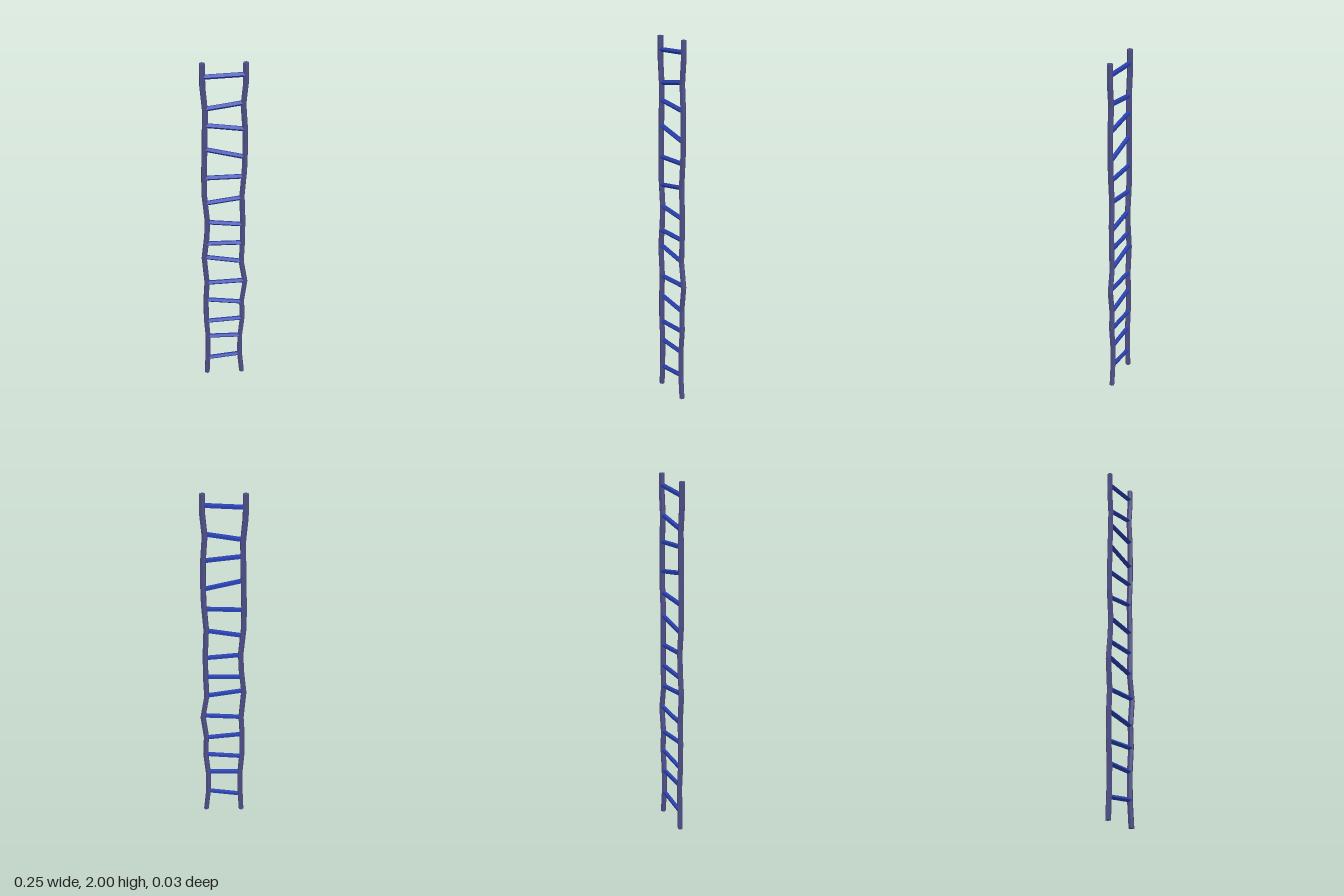
import * as THREE from 'three';

// Rail paths as [x, y], bottom to top
const rightPath = [
  [-0.107, 0], [-0.1, 0.15], [-0.098, 0.28], [-0.107, 0.41], [-0.107, 0.56], [-0.1, 0.68], [-0.113, 0.85],
  [-0.097, 1.0], [-0.094, 1.1], [-0.107, 1.25], [-0.108, 1.37], [-0.103, 1.54], [-0.098, 1.75], [-0.109, 1.88], [-0.109, 2],
];
const leftPath = [
  [0.099, 0], [0.086, 0.14], [0.086, 0.28], [0.099, 0.42], [0.094, 0.54], [0.111, 0.68], [0.089, 0.82],
  [0.094, 0.95], [0.094, 1.1], [0.088, 1.25], [0.099, 1.4], [0.101, 1.5], [0.1, 1.64], [0.09, 1.78], [0.101, 1.9], [0.1, 2],
];

// Heights where each rung meets the right and left rail
const rungHeights = [
  [0.115, 0.14], [0.285, 0.285], [0.4, 0.415], [0.56, 0.535], [0.68, 0.69], [0.86, 0.825], [0.95, 0.95],
  [1.09, 1.07], [1.21, 1.24], [1.365, 1.37], [1.535, 1.485], [1.67, 1.645], [1.76, 1.79], [1.93, 1.94],
];

const railMaterial = new THREE.MeshStandardMaterial({ color: 0x4f4f88, flatShading: true });
const rungMaterial = new THREE.MeshStandardMaterial({ color: 0x2840b0, flatShading: true });

// Straight hexagonal pole whose rings are moved onto the path points
function makeRail(name, path, twist) {
  const n = path.length - 1;
  const geo = new THREE.CylinderGeometry(0.0152, 0.0152, n, 6, n);
  geo.rotateY(twist);
  const pos = geo.attributes.position;
  for (let i = 0; i < pos.count; i++) {
    const [x, y] = path[Math.round(pos.getY(i) + n / 2)];
    pos.setXYZ(i, pos.getX(i) + x, y, pos.getZ(i));
  }
  geo.computeVertexNormals();
  const mesh = new THREE.Mesh(geo, railMaterial);
  mesh.name = name;
  return mesh;
}

// Rail x at a given height
function railX(path, y) {
  const i = Math.max(1, path.findIndex((p) => p[1] >= y));
  const [x0, y0] = path[i - 1];
  const [x1, y1] = path[i];
  return THREE.MathUtils.mapLinear(y, y0, y1, x0, x1);
}

// Five-sided bar between the two rails
function makeRung([yr, yl], index) {
  const a = new THREE.Vector3(railX(rightPath, yr), yr, 0);
  const b = new THREE.Vector3(railX(leftPath, yl), yl, 0);
  const dir = b.clone().sub(a);
  const mesh = new THREE.Mesh(new THREE.CylinderGeometry(0.0128, 0.0128, dir.length(), 5), rungMaterial);
  mesh.position.copy(a).add(b).multiplyScalar(0.5);
  mesh.rotation.z = Math.atan2(dir.y, dir.x) - Math.PI / 2;
  mesh.name = `rung${index + 1}`;
  return mesh;
}

export function createModel() {
  const ladder = new THREE.Group();
  ladder.name = 'ladder';
  ladder.add(makeRail('rightRail', rightPath, 0.2), makeRail('leftRail', leftPath, -0.2));

  const rungs = new THREE.Group();
  rungs.name = 'rungs';
  rungHeights.forEach((h, i) => rungs.add(makeRung(h, i)));
  ladder.add(rungs);
  return ladder;
}
